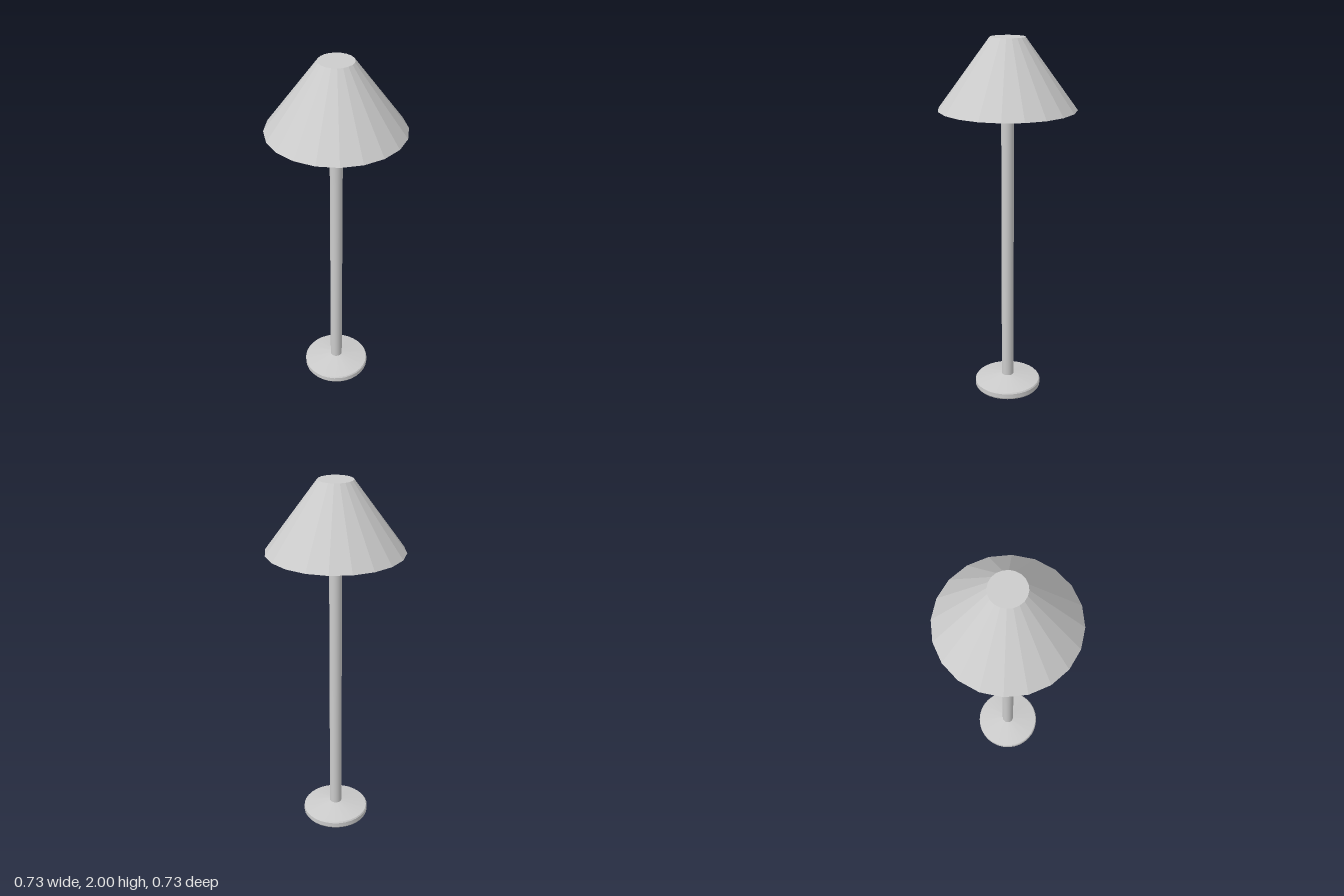
import * as THREE from 'three';
import { toCreasedNormals } from 'three/addons/utils/BufferGeometryUtils.js';

// Turned part from a [radius, height] profile
function turned(name, profile, sides, material, crease) {
  const points = profile.map(([r, y]) => new THREE.Vector2(r, y));
  let geometry = new THREE.LatheGeometry(points, sides);
  if (crease) geometry = toCreasedNormals(geometry, crease);
  const mesh = new THREE.Mesh(geometry, material);
  mesh.name = name;
  return mesh;
}

export function createModel() {
  const lamp = new THREE.Group();
  lamp.name = 'floorLamp';
  const smooth = new THREE.MeshStandardMaterial({ color: 0xcccccc });
  const faceted = new THREE.MeshStandardMaterial({ color: 0xcccccc, flatShading: true });
  const thin = new THREE.MeshStandardMaterial({ color: 0xcccccc, side: THREE.DoubleSide });

  // Shallow foot, hollow underneath, with softened edges
  lamp.add(turned('base', [
    [0.183, 0], [0.188, 0.008], [0.188, 0.034], [0.183, 0.041], [0.03, 0.069],
  ], 32, thin, 0.45));

  // Pole from the foot up into the shade
  const pole = new THREE.Mesh(new THREE.CylinderGeometry(0.034, 0.034, 1.92, 20), smooth);
  pole.name = 'pole';
  pole.position.y = 0.065 + 0.96;
  lamp.add(pole);

  // Faceted conical shade: inner wall, rim, outer wall and closed top
  lamp.add(turned('shade', [
    [0, 1.985], [0.084, 1.985], [0.352, 1.63], [0.366, 1.63], [0.092, 2], [0, 2],
  ], 20, faceted));

  return lamp;
}
